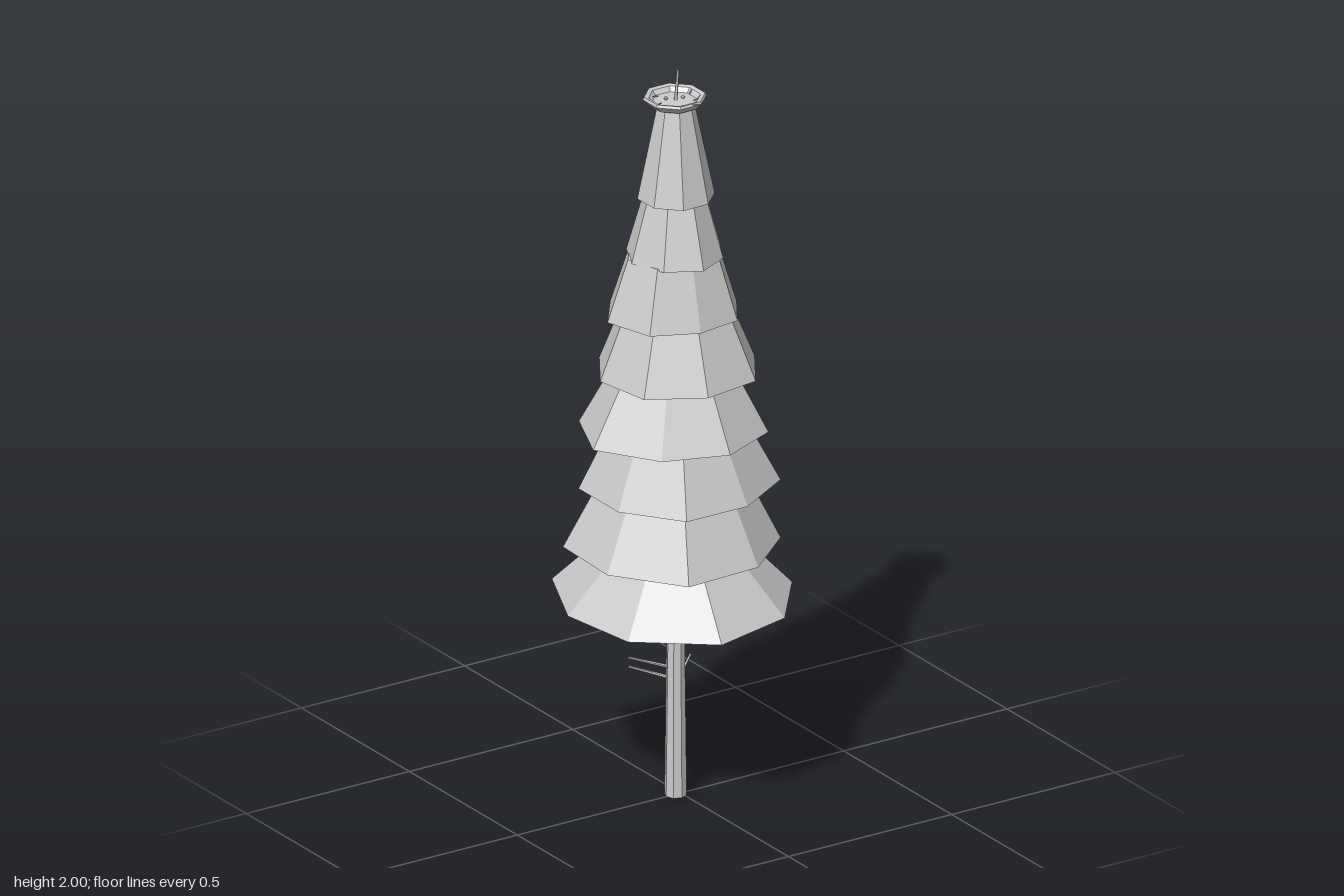
import * as THREE from 'three';

const AXIS_X = -0.015;
const SIDES = 8;

// [base height, rotation in degrees, neck/base ratio, base radius of each corner]
const TIERS = [
  [0.54, 12, 0.52, [0.32, 0.304, 0.322, 0.305, 0.296, 0.345, 0.303, 0.3]],
  [0.70, 27, 0.7, [0.27, 0.27, 0.3, 0.28, 0.29, 0.285, 0.27, 0.3]],
  [0.86, 27, 0.68, [0.27, 0.235, 0.25, 0.235, 0.25, 0.25, 0.25, 0.25]],
  [1.02, -3, 0.64, [0.225, 0.24, 0.235, 0.236, 0.262, 0.25, 0.25, 0.24]],
  [1.18, 10, 0.69, [0.22, 0.22, 0.21, 0.22, 0.21, 0.21, 0.21, 0.21]],
  [1.34, 10, 0.7, [0.17, 0.17, 0.16, 0.18, 0.19, 0.18, 0.175, 0.17]],
  [1.50, 2, 0.64, [0.133, 0.125, 0.137, 0.13, 0.132, 0.13, 0.137, 0.125]],
  [1.66, 22, 0.47, [0.102, 0.1, 0.102, 0.1, 0.1, 0.1, 0.1, 0.1]],
];

export function createModel() {
  const model = new THREE.Group();
  model.name = 'pineTree';
  const grey = new THREE.MeshStandardMaterial({ color: 0xcccccc });
  grey.name = 'lightGrey';
  grey.flatShading = true;

  const add = (parent, name, geometry) => {
    const mesh = new THREE.Mesh(geometry, grey);
    mesh.name = name;
    parent.add(mesh);
    return mesh;
  };

  // Tapered stick between two points
  const stick = (parent, name, from, to, r0, r1, sides = 5) => {
    const a = new THREE.Vector3(...from);
    const b = new THREE.Vector3(...to);
    const mesh = add(parent, name, new THREE.CylinderGeometry(r1, r0, a.distanceTo(b), sides));
    mesh.position.copy(a).lerp(b, 0.5);
    mesh.quaternion.setFromUnitVectors(new THREE.Vector3(0, 1, 0), b.sub(a).normalize());
  };

  // Frustum whose corners each have their own radius
  const tierGeometry = (height, phase, ratio, radii) => {
    const step = (Math.PI * 2) / SIDES;
    const start = THREE.MathUtils.degToRad(phase);
    const geo = new THREE.CylinderGeometry(ratio, 1, height, SIDES, 1, false, Math.PI / 2 - start);
    const p = geo.attributes.position;
    for (let i = 0; i < p.count; i++) {
      const x = p.getX(i), z = p.getZ(i);
      if (Math.hypot(x, z) < 1e-6) continue;
      const k = Math.round((Math.atan2(z, x) - start) / step);
      const r = radii[((k % SIDES) + SIDES) % SIDES];
      p.setX(i, x * r);
      p.setZ(i, z * r);
    }
    geo.computeVertexNormals();
    return geo;
  };

  // Trunk
  stick(model, 'trunk', [AXIS_X, 0, 0], [AXIS_X, 0.66, 0], 0.029, 0.021, 8);

  // Foliage tiers
  const foliage = new THREE.Group();
  foliage.name = 'foliage';
  model.add(foliage);
  TIERS.forEach(([y, phase, ratio, radii], i) => {
    const height = i === TIERS.length - 1 ? 0.26 : 0.165;
    add(foliage, `foliageTier${i + 1}`, tierGeometry(height, phase, ratio, radii))
      .position.set(AXIS_X, y + height / 2, 0);
  });

  // Bare twigs on the trunk: [base height, tip]
  [
    [0.35, [-0.13, 0.39, -0.045]],
    [0.32, [-0.11, 0.35, -0.075]],
    [0.305, [0.08, 0.34, -0.075]],
    [0.44, [0.045, 0.48, -0.105]],
    [0.41, [-0.045, 0.44, -0.12]],
  ].forEach(([y, tip]) => stick(model, 'trunkTwig', [AXIS_X, y, 0], tip, 0.005, 0.003));

  // Nest: shallow bowl, loose twigs [from x, from z, to x, to z], and eggs [x, z]
  const nest = (name, x, y, z, r, twigs, eggs) => {
    const group = new THREE.Group();
    group.name = name;
    group.position.set(x, y, z);
    model.add(group);
    const profile = [[0, 0], [0.78, 0], [1, 0.018], [0.96, 0.025], [0.82, 0.022], [0.7, 0.01], [0, 0.01]]
      .map(([f, h]) => new THREE.Vector2(f * r, h));
    add(group, 'nestBowl', new THREE.LatheGeometry(profile, SIDES, Math.PI / 8));
    twigs.forEach(([x0, z0, x1, z1], i) =>
      stick(group, 'nestTwig', [x0 - x, 0.015, z0 - z], [x1 - x, 0.022 + (i % 3) * 0.006, z1 - z], 0.0018, 0.0014, 4));
    eggs.forEach(([ex, ez]) =>
      add(group, 'egg', new THREE.IcosahedronGeometry(0.005, 1)).position.set(ex - x, 0.014, ez - z));
  };

  nest('topNest', AXIS_X, 1.913, -0.005, 0.083, [
    [-0.04, -0.042, -0.105, -0.048], [0.005, -0.07, -0.016, -0.108],
    [0.035, -0.01, 0.082, -0.05], [0.02, 0.03, 0.088, 0.036],
    [-0.025, 0.045, 0.008, 0.094], [-0.06, 0.0, -0.098, 0.044],
  ], [[-0.031, -0.021], [0.011, -0.005]]);

  // Tree tip
  stick(model, 'treeTip', [-0.012, 1.91, -0.006], [0.003, 2, -0.016], 0.005, 0.003);

  // Side branch carrying the lower nest
  stick(model, 'sideBranch', [AXIS_X, 0.87, 0], [0.205, 0.955, -0.222], 0.013, 0.01, 6);
  nest('sideNest', 0.214, 0.95, -0.233, 0.063, [
    [0.228, -0.27, 0.21, -0.315], [0.24, -0.255, 0.257, -0.3],
    [0.235, -0.206, 0.284, -0.2], [0.193, -0.19, 0.205, -0.152],
    [0.175, -0.252, 0.13, -0.245], [0.18, -0.215, 0.152, -0.182],
  ], [[0.229, -0.234]]);

  return model;
}
